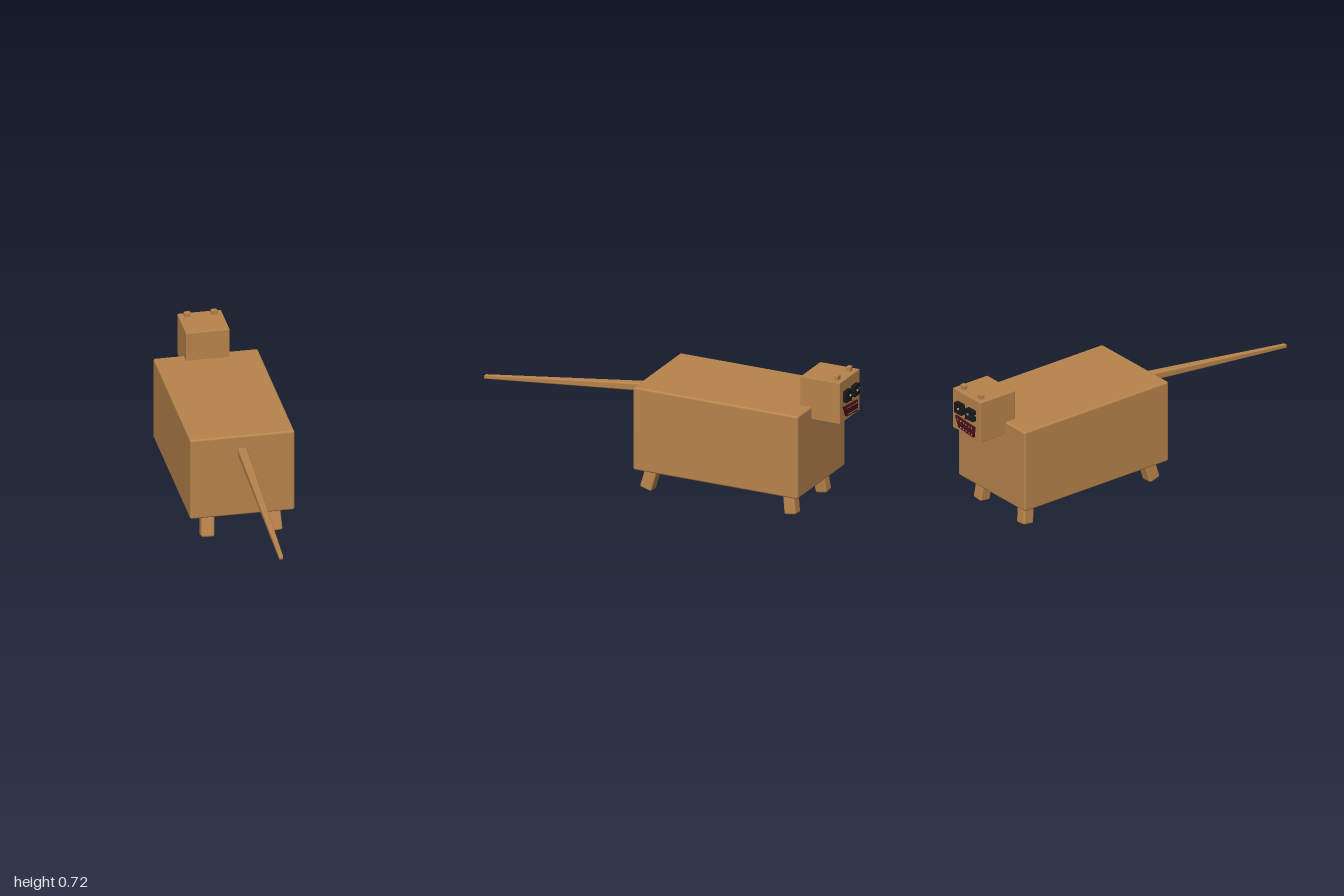
import * as THREE from 'three';
import { RoundedBoxGeometry } from 'three/addons/geometries/RoundedBoxGeometry.js';

const mat = (color) => new THREE.MeshStandardMaterial({ color });
const fur = mat(0xb8844c), black = mat(0x18181a), red = mat(0x4a1218), pale = mat(0xb89a94);

export function createModel() {
  const root = new THREE.Group();

  const add = (name, geometry, material, x, y, z, parent = root) => {
    const mesh = new THREE.Mesh(geometry, material);
    mesh.name = name;
    mesh.position.set(x, y, z);
    parent.add(mesh);
    return mesh;
  };
  const rounded = (w, h, d, r) => new RoundedBoxGeometry(w, h, d, 3, r);

  // Flat outline in x and y, given thickness towards +z
  const plate = (points, depth) => new THREE.ExtrudeGeometry(
    new THREE.Shape(points.map(([x, y]) => new THREE.Vector2(x, y))),
    { depth, bevelEnabled: false });

  // Body and head
  add('body', rounded(0.516, 0.429, 0.89, 0.01), fur, 0, 0.336, -0.375);
  const head = new THREE.Group();
  head.name = 'head';
  root.add(head);
  add('skull', rounded(0.216, 0.213, 0.213, 0.003), fur, 0, 0.593, -0.867, head);

  // Legs, splayed outwards and towards the ends
  for (const side of [-1, 1]) {
    const label = side > 0 ? 'left' : 'right';
    const hind = add(label + 'TailEndLeg', rounded(0.065, 0.2, 0.064, 0.01), fur, side * 0.163, 0.102, 0.007);
    hind.rotation.set(-0.27, 0, side * 0.06);
    const fore = add(label + 'HeadEndLeg', rounded(0.06, 0.2, 0.062, 0.01), fur, side * 0.16, 0.106, -0.735);
    fore.rotation.set(0.13, 0, side * 0.09);
    add(label + 'Ear', rounded(0.03, 0.032, 0.022, 0.002), fur, side * 0.066, 0.706, -0.938, head);
  }

  // Tail: a rounded bar that narrows and drops towards its tip
  const tailGeometry = rounded(0.048, 0.044, 0.95, 0.009);
  const p = tailGeometry.attributes.position;
  for (let i = 0; i < p.count; i++) {
    const t = p.getZ(i) / 0.95 + 0.5;
    const s = 1 - 0.58 * t;
    p.setXY(i, p.getX(i) * s, p.getY(i) * s - 0.111 * t);
  }
  add('tail', tailGeometry, fur, 0, 0.466, 0.525);

  // Eyes: a chamfered block and one with a notch, each with a small glint
  const c = 0.006, w = 0.031, h = 0.029;
  const outline = [[-w + c, -h], [w - c, -h], [w, -h + c], [w, h - c], [w - c, h], [-w + c, h], [-w, h - c], [-w, -h + c]];
  const notched = [...outline.slice(0, 7), [-w, 0.009], [-0.012, 0.006], [-0.012, -0.002], [-w, -0.004], outline[7]];
  add('leftEye', plate(outline, 0.022), black, 0.043, 0.616, -0.993, head);
  add('rightEye', plate(notched, 0.022), black, -0.043, 0.616, -0.993, head);
  for (const x of [0.038, -0.036])
    add('eyeGlint', new THREE.BoxGeometry(0.008, 0.008, 0.008), pale, x, 0.618, -0.996, head);

  // Nose and crooked mouth with two rows of teeth
  add('nose', new THREE.BoxGeometry(0.01, 0.008, 0.012), red, 0, 0.577, -0.977, head);
  add('mouth', plate([[0.05, 0.51], [0.078, 0.566], [-0.068, 0.555], [-0.064, 0.5]], 0.015), red, 0, 0, -0.985, head);
  for (let i = 0; i < 6; i++) {
    const x = 0.052 - i * 0.021;
    add('upperTooth', new THREE.BoxGeometry(0.006, 0.006, 0.006), pale, x, 0.553 - i * 0.0015, -0.984, head);
    if (i > 0) add('lowerTooth', new THREE.BoxGeometry(0.006, 0.006, 0.006), pale, x, 0.519 - i * 0.0015, -0.984, head);
  }

  return root;
}
